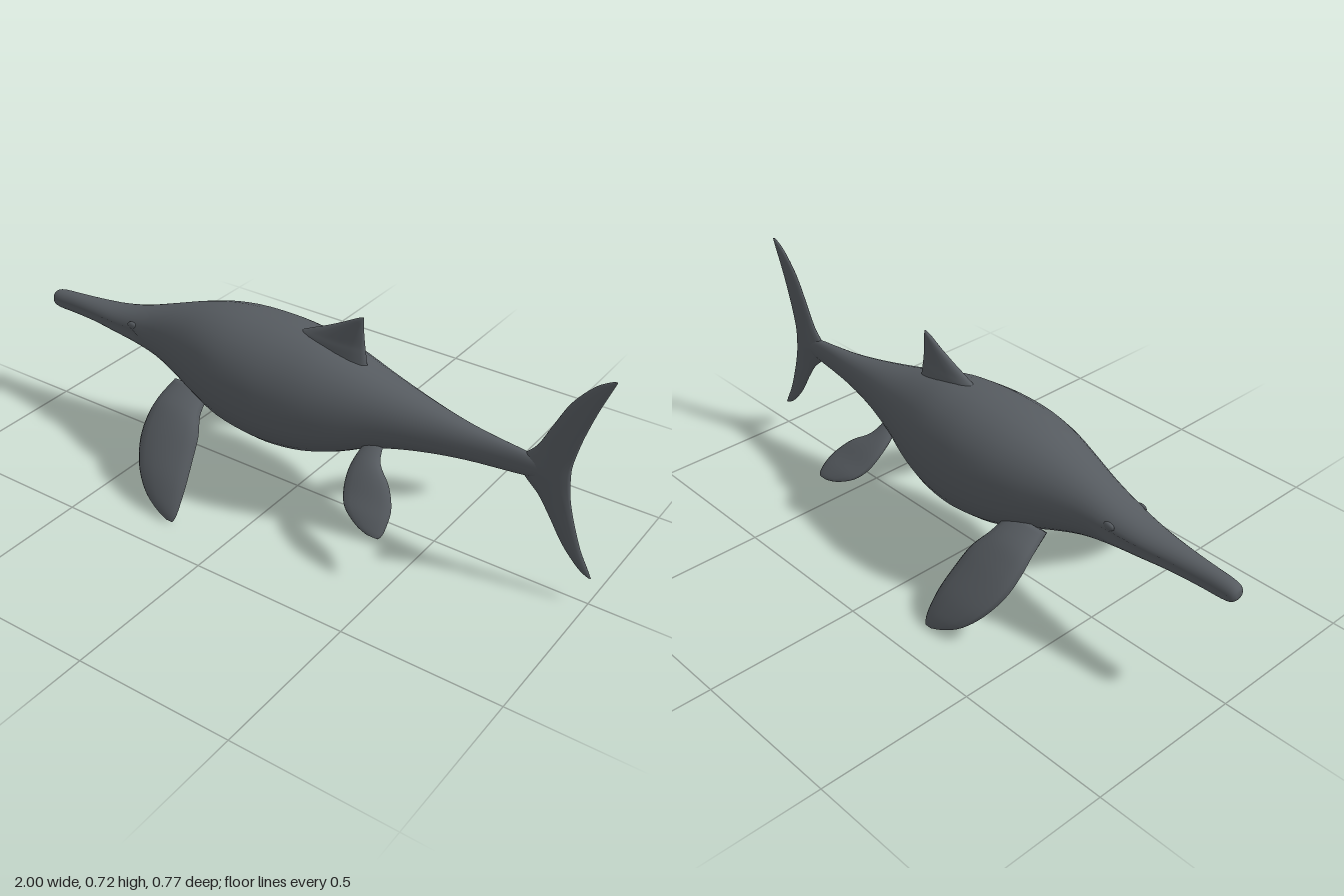
import * as THREE from 'three';

// Catmull-Rom refinement of a list of number rows
function refine(rows, steps) {
  const out = [];
  const n = rows.length;
  for (let i = 0; i < n - 1; i++) {
    const [a, b, c, d] = [-1, 0, 1, 2].map(k => rows[Math.min(n - 1, Math.max(0, i + k))]);
    for (let s = 0; s < steps; s++) {
      const t = s / steps;
      out.push(b.map((v, k) => v + 0.5 * t * (c[k] - a[k] + t * (2 * a[k] - 5 * v + 4 * c[k] - d[k]
        + t * (3 * (v - c[k]) + d[k] - a[k])))));
    }
  }
  out.push(rows[n - 1]);
  return out;
}

// Closed skin over rings of equal point count, facing outward
function skin(rings) {
  const m = rings[0].length, pos = [], idx = [];
  rings.forEach(r => r.forEach(p => pos.push(p.x, p.y, p.z)));
  for (let i = 0; i < rings.length - 1; i++) {
    for (let j = 0; j < m; j++) {
      const a = i * m + j, b = i * m + (j + 1) % m;
      idx.push(a, b, a + m, b, b + m, a + m);
    }
  }
  [0, rings.length - 1].forEach((i, end) => {
    const c = rings[i].reduce((s, p) => s.add(p), new THREE.Vector3()).divideScalar(m);
    const k = pos.length / 3;
    pos.push(c.x, c.y, c.z);
    for (let j = 0; j < m; j++) {
      const a = i * m + j, b = i * m + (j + 1) % m;
      if (end) idx.push(a, b, k); else idx.push(b, a, k);
    }
  });
  // signed volume tells whether the winding must be turned round
  const at = i => new THREE.Vector3().fromArray(pos, i * 3);
  let volume = 0;
  for (let i = 0; i < idx.length; i += 3) volume += at(idx[i]).dot(at(idx[i + 1]).cross(at(idx[i + 2])));
  if (volume < 0) idx.reverse();
  const g = new THREE.BufferGeometry();
  g.setAttribute('position', new THREE.Float32BufferAttribute(pos, 3));
  g.setIndex(idx);
  g.computeVertexNormals();
  return g;
}

// Fin from rows [leadX, leadY, leadZ, trailX, trailY, trailZ, halfThickness]
function fin(rows, normal) {
  return skin(refine(rows, 4).map(r => {
    const lead = new THREE.Vector3(r[0], r[1], r[2]), trail = new THREE.Vector3(r[3], r[4], r[5]);
    const mid = lead.clone().add(trail).multiplyScalar(0.5), half = lead.sub(mid);
    return Array.from({ length: 14 }, (_, j) => {
      const a = j / 14 * Math.PI * 2;
      return mid.clone().addScaledVector(half, Math.cos(a)).addScaledVector(normal, Math.sin(a) * r[6]);
    });
  }));
}

// Body from rows [x, bottom, top, halfWidth]
function bodyGeometry() {
  const rows = [
    [-1, 0.37, 0.39, 0.012], [-0.99, 0.355, 0.403, 0.024], [-0.96, 0.35, 0.41, 0.03],
    [-0.9, 0.35, 0.415, 0.033], [-0.8, 0.35, 0.422, 0.043], [-0.7, 0.345, 0.433, 0.058],
    [-0.6, 0.338, 0.457, 0.074], [-0.5, 0.32, 0.492, 0.092], [-0.4, 0.288, 0.527, 0.122],
    [-0.3, 0.25, 0.555, 0.156], [-0.2, 0.218, 0.57, 0.181], [-0.09, 0.2, 0.574, 0.19],
    [0, 0.195, 0.571, 0.185], [0.1, 0.206, 0.56, 0.17], [0.2, 0.236, 0.535, 0.144],
    [0.3, 0.28, 0.506, 0.113], [0.4, 0.308, 0.481, 0.085], [0.5, 0.326, 0.459, 0.06],
    [0.6, 0.338, 0.441, 0.041], [0.7, 0.345, 0.43, 0.027], [0.78, 0.352, 0.422, 0.019],
    [0.88, 0.37, 0.405, 0.009]
  ];
  return skin(refine(rows, 3).map(([x, bottom, top, w]) => {
    const mid = bottom + (top - bottom) * 0.45;
    return Array.from({ length: 28 }, (_, j) => {
      const a = j / 28 * Math.PI * 2, c = Math.cos(a), s = Math.sin(a);
      const power = s < 0 ? 0.8 : 0.95; // fuller belly
      const groove = j % 14 === 0 && x > -0.98 && x < -0.58 ? 0.84 : 1; // mouth line
      const y = s > 0 ? (top - mid) * s ** power : -(mid - bottom) * (-s) ** power;
      return new THREE.Vector3(x, mid + y, w * groove * Math.sign(c) * Math.abs(c) ** power);
    });
  }));
}

export function createModel() {
  const group = new THREE.Group();
  const skinGrey = new THREE.MeshStandardMaterial({ color: 0x565b60 });
  skinGrey.name = 'slate grey';
  const add = (name, geometry) => {
    const mesh = new THREE.Mesh(geometry, skinGrey);
    mesh.name = name;
    group.add(mesh);
    return mesh;
  };
  const zAxis = new THREE.Vector3(0, 0, 1);

  add('body', bodyGeometry());

  // Upright fins: [y, leadX, trailX, halfThickness]
  const upright = rows => fin(rows.map(([y, l, t, h]) => [l, y, 0, t, y, 0, h]), zAxis);
  add('dorsalFin', upright([
    [0.5, -0.02, 0.25, 0.036], [0.555, 0.0, 0.242, 0.028], [0.58, 0.04, 0.238, 0.021],
    [0.605, 0.095, 0.235, 0.016], [0.635, 0.155, 0.232, 0.011], [0.66, 0.2, 0.231, 0.007],
    [0.672, 0.226, 0.231, 0.002]
  ]));
  add('tailFin', upright([
    [0.09, 0.988, 0.998, 0.003], [0.11, 0.955, 0.988, 0.007], [0.17, 0.9, 0.958, 0.009],
    [0.25, 0.85, 0.93, 0.011], [0.305, 0.812, 0.915, 0.012], [0.345, 0.77, 0.908, 0.014],
    [0.385, 0.74, 0.905, 0.016], [0.42, 0.765, 0.905, 0.014], [0.46, 0.8, 0.912, 0.012],
    [0.53, 0.835, 0.93, 0.011], [0.62, 0.882, 0.96, 0.009], [0.69, 0.942, 0.988, 0.007],
    [0.72, 0.988, 1, 0.003]
  ]));

  // Paired flippers: [z, y, leadX, trailX, halfThickness]
  const front = [
    [0.1, 0.305, -0.4, -0.26, 0.03], [0.17, 0.265, -0.415, -0.245, 0.029],
    [0.22, 0.22, -0.42, -0.215, 0.027], [0.27, 0.165, -0.41, -0.2, 0.024],
    [0.32, 0.105, -0.375, -0.188, 0.02], [0.355, 0.055, -0.325, -0.185, 0.015],
    [0.374, 0.023, -0.27, -0.187, 0.01], [0.383, 0.004, -0.22, -0.195, 0.004]
  ];
  const rear = [
    [0.06, 0.33, 0.3, 0.35, 0.016], [0.11, 0.29, 0.287, 0.37, 0.016],
    [0.15, 0.255, 0.285, 0.425, 0.015], [0.19, 0.215, 0.297, 0.46, 0.013],
    [0.225, 0.185, 0.325, 0.47, 0.01], [0.25, 0.16, 0.38, 0.469, 0.007],
    [0.26, 0.15, 0.425, 0.46, 0.003]
  ];
  for (const [side, s] of [['left', 1], ['right', -1]]) {
    const normal = new THREE.Vector3(0, 0.66, 0.75 * s);
    const flipper = rows => fin(rows.map(([z, y, l, t, h]) => [l, y, z * s, t, y, z * s, h]), normal);
    add(side + 'FrontFlipper', flipper(front));
    add(side + 'RearFlipper', flipper(rear));

    // Low bulging eye
    const eye = add(side + 'Eye', new THREE.SphereGeometry(1, 16, 10));
    eye.scale.set(0.02, 0.012, 0.008);
    eye.position.set(-0.6, 0.418, 0.066 * s);
  }
  return group;
}
